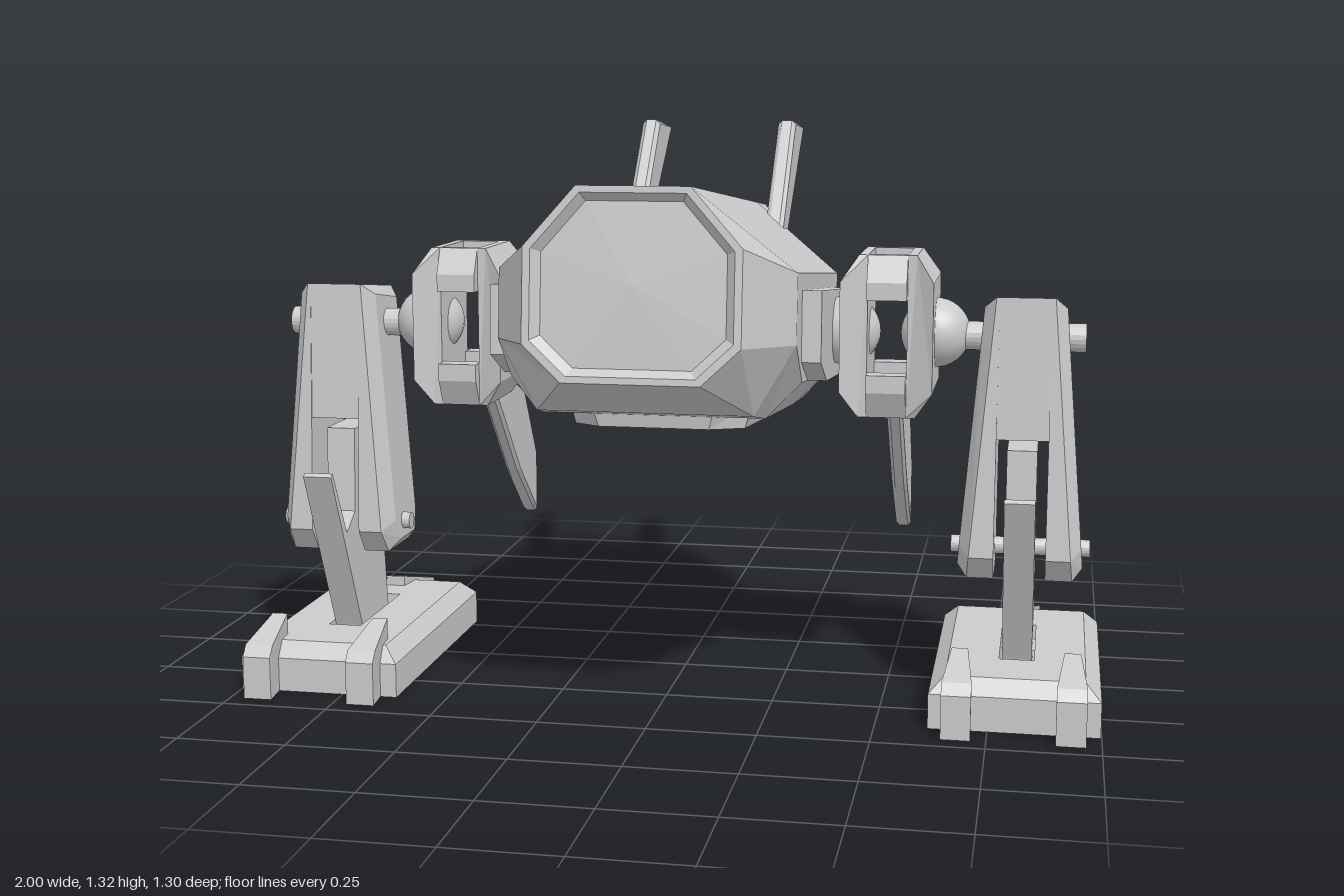
import * as THREE from 'three';

const flat = new THREE.MeshStandardMaterial({ color: 0xcccccc, flatShading: true });
const smooth = new THREE.MeshStandardMaterial({ color: 0xcccccc });

function add(parent, name, geometry, material = flat) {
  const mesh = new THREE.Mesh(geometry, material);
  mesh.name = name;
  parent.add(mesh);
  return mesh;
}

function group(parent, name, x = 0, y = 0, z = 0) {
  const g = new THREE.Group();
  g.name = name;
  g.position.set(x, y, z);
  parent.add(g);
  return g;
}

// Skin over rings of [x, y, z] points, counter-clockwise about the loft direction
function loft(rings, startTip, endTip) {
  const out = [];
  const tri = (...pts) => pts.forEach((p) => out.push(...p));
  const middle = (r) => [0, 1, 2].map((k) => r.reduce((sum, p) => sum + p[k], 0) / r.length);
  const first = rings[0], last = rings[rings.length - 1], n = first.length;
  const c0 = startTip || middle(first), c1 = endTip || middle(last);
  for (let j = 0; j < n; j++) {
    const k = (j + 1) % n;
    for (let i = 0; i + 1 < rings.length; i++) {
      const a = rings[i], b = rings[i + 1];
      tri(a[j], a[k], b[k]);
      tri(a[j], b[k], b[j]);
    }
    tri(c0, first[k], first[j]);
    tri(c1, last[j], last[k]);
  }
  const g = new THREE.BufferGeometry();
  g.setAttribute('position', new THREE.Float32BufferAttribute(out, 3));
  g.computeVertexNormals();
  return g;
}

// Side profile of [z, y] points, extruded across x and centred on x = 0
function plate(points, width, bevel = 0) {
  const shape = new THREE.Shape(points.map((p) => new THREE.Vector2(...p)));
  const g = new THREE.ExtrudeGeometry(shape, {
    depth: width - 2 * bevel, bevelEnabled: bevel > 0, bevelSize: bevel,
    bevelOffset: -bevel, bevelThickness: bevel, bevelSegments: 1,
  });
  return g.translate(0, 0, bevel - width / 2).rotateY(-Math.PI / 2);
}

// Move every vertex by a rule
function reshape(g, rule) {
  const p = g.attributes.position, v = new THREE.Vector3();
  for (let i = 0; i < p.count; i++) {
    rule(v.fromBufferAttribute(p, i));
    p.setXYZ(i, v.x, v.y, v.z);
  }
  g.computeVertexNormals();
  return g;
}

const pin = (radius, length) => new THREE.CylinderGeometry(radius, radius, length, 20).rotateZ(Math.PI / 2);

// Octagonal hull section: right half from bottom to top, then mirrored
function section(z, bottom, low, high, top = [0.123, 0.25]) {
  const half = [bottom, low, high, top];
  const left = half.slice().reverse().map(([x, y]) => [-x, y]);
  return [...half, ...left].map(([x, y]) => [x, y, z]);
}
const endRing = (z) => section(z, [0.15, -0.165], [0.235, -0.085], [0.235, 0.122]);
const shrink = (ring, s, z) => ring.map(([x, y]) => [x * s, 0.043 + (y - 0.043) * s, z]);

function buildBody(parent) {
  const body = group(parent, 'body', 0, 0.9, 0);
  body.rotation.x = -0.1;
  const rear = endRing(-0.45), front = endRing(0.64);
  // Hull with a recessed window frame in its nose
  add(body, 'hull', loft([
    rear,
    section(-0.305, [0.25, -0.24], [0.33, -0.08], [0.33, 0.075]),
    section(-0.13, [0.25, -0.245], [0.33, -0.165], [0.33, 0.075]),
    section(0.37, [0.25, -0.247], [0.33, -0.165], [0.33, 0.075]),
    section(0.48, [0.24, -0.235], [0.33, -0.08], [0.33, 0.075]),
    front,
    shrink(front, 0.93, 0.64),
    shrink(front, 0.85, 0.62),
  ], null, [0, 0.043, 0.628]));

  // Stepped tail whose outer sides stand proud of its middle
  const tail = shrink(rear, 0.78, -0.44);
  const rim = tail.map(([x, y]) => [x, y, y > -0.1 && y < 0.15 ? -0.522 : -0.488]);
  add(body, 'tailPlate', loft([rim, tail], [0, 0.043, -0.48]));

  // Side panels and belly panel
  const panel = [[0.4, 0.038], [-0.2, 0.04], [-0.215, -0.08], [-0.137, -0.16], [0.27, -0.165], [0.39, -0.12]];
  for (const s of [-1, 1]) {
    add(body, 'sidePanel', plate(panel, 0.06)).position.x = s * 0.343;
  }
  const belly = (y, i) => [[-0.21 + i, 0.3], [-0.14 + i, 0.39 - i], [0.14 - i, 0.39 - i], [0.21 - i, 0.3],
    [0.21 - i, -0.03], [0.14 - i, -0.11 + i], [-0.14 + i, -0.11 + i], [-0.21 + i, -0.03]].map(([x, z]) => [x, y, z]);
  add(body, 'bellyPanel', loft([belly(-0.275, 0.015), belly(-0.22, 0)]));
}

// Open shoulder housing: two cheeks joined by four corner bars
function buildShoulder(parent) {
  const shoulder = group(parent, 'shoulder', 0, 0.855, 0.105);
  for (const s of [-1, 1]) {
    const profile = [[0.045, -0.185], [0.065, -0.185], [0.105, -0.125], [0.105, 0.125], [0.065, 0.185], [0.045, 0.185]];
    const shape = new THREE.Shape(profile.map(([x, y]) => new THREE.Vector2(s * x, y)));
    const cheek = new THREE.ExtrudeGeometry(shape, { depth: 0.27, bevelEnabled: false }).translate(0, 0, -0.135);
    add(shoulder, 'housingCheek', reshape(cheek, (v) => { if (Math.abs(v.y) > 0.15) v.z *= 0.78; }));
    for (const t of [-1, 1]) {
      const bar = [[0.135, 0.085], [0.135, 0.125], [0.105, 0.185], [0.085, 0.185], [0.085, 0.085]];
      add(shoulder, 'housingBar', plate(bar.map(([z, y]) => [z * s, y * t]), 0.09));
    }
    add(shoulder, 'ballJoint', new THREE.SphereGeometry(0.08, 28, 18), smooth).position.x = s * 0.103;
  }
  // Swept blade hanging behind the housing
  add(parent, 'blade', plate([[0.02, 0.745], [-0.03, 0.745], [-0.3, 0.625], [-0.415, 0.44],
    [-0.41, 0.28], [-0.235, 0.425], [0, 0.68]], 0.038, 0.008));
}

function buildLeg(parent) {
  // Forked upper leg: flared, chamfered side plates under a solid crown
  const outline = [[-0.01, 0.925], [0.21, 0.95], [0.245, 0.36], [0.205, 0.305], [0.055, 0.305], [0.02, 0.36]];
  const inset = outline.map(([z, y]) => [0.117 + (z - 0.117) * 0.68, 0.63 + (y - 0.63) * 0.92]);
  const flare = (y) => 0.065 + 0.083 * (0.95 - y);
  for (const s of [-1, 1]) {
    const rings = [
      outline.map(([z, y]) => [s * 0.058, y, z]),
      outline.map(([z, y]) => [s * flare(y), y, z]),
      inset.map(([z, y]) => [s * (flare(y) + 0.025), y, z]),
    ];
    add(parent, 'upperLegPlate', loft(s > 0 ? rings : rings.reverse()));
  }
  add(parent, 'upperLegCrown', plate([[-0.01, 0.925], [0.21, 0.95], [0.225, 0.63], [0.005, 0.63]], 0.118));
  add(parent, 'shoulderPin', pin(0.033, 0.27)).position.set(0, 0.85, 0.11);
  add(parent, 'kneePin', pin(0.02, 0.315)).position.set(0, 0.37, 0.145);

  // Lower leg with a forward prong
  add(parent, 'lowerLeg', plate([[0.345, 0.52], [0.26, 0.36], [0.2, 0.4], [0.19, 0.6], [0.06, 0.6],
    [0.02, 0.5], [-0.025, 0.11], [-0.02, 0.05], [0.145, 0.05], [0.17, 0.11], [0.357, 0.513]], 0.068));

  // Slotted foot with a chamfered upper layer
  const foot = group(parent, 'foot', 0, 0, 0.05);
  const rect = (Type, x, y) => new Type([[-x, -y], [x, -y], [x, y], [-x, y]].map((p) => new THREE.Vector2(...p)));
  const slab = (height, slotLength) => {
    const shape = rect(THREE.Shape, 0.19, 0.335);
    shape.holes.push(rect(THREE.Path, 0.04, slotLength / 2));
    return new THREE.ExtrudeGeometry(shape, { depth: height, bevelEnabled: false }).rotateX(-Math.PI / 2);
  };
  add(foot, 'sole', slab(0.08, 0.1));
  const upper = reshape(slab(0.035, 0.3), (v) => {
    if (v.y > 0.01 && Math.abs(v.x) > 0.1) {
      v.x -= Math.sign(v.x) * 0.035;
      v.z -= Math.sign(v.z) * 0.035;
    }
  });
  add(foot, 'footTop', upper).position.y = 0.08;

  // Toes and heel spur, wider at their tips
  for (const s of [-1, 1]) {
    const toe = plate([[0.455, 0], [0.455, 0.1], [0.435, 0.125], [0.3, 0.165], [0.3, 0]], 0.066);
    reshape(toe, (v) => { if (v.z < 0.4) v.x *= 0.55; });
    add(parent, 'toe', toe).position.x = s * 0.125;
  }
  const heel = plate([[-0.39, 0], [-0.39, 0.06], [-0.36, 0.095], [-0.185, 0.14], [-0.185, 0]], 0.096);
  add(parent, 'heelSpur', reshape(heel, (v) => { if (v.z > -0.3) v.x *= 0.5; }));
}

export function createModel() {
  const model = new THREE.Group();
  model.name = 'walker';
  buildBody(model);
  for (const s of [-1, 1]) {
    const side = s > 0 ? 'left' : 'right';
    // Raked fin on the back of the hull
    const fin = plate([[-0.235, 1.055], [-0.47, 1.32], [-0.645, 1.3], [-0.34, 1.04]], 0.045, 0.01);
    add(model, side + 'Fin', fin).position.x = s * 0.178;
    buildShoulder(group(model, side + 'Arm', s * 0.5));
    buildLeg(group(model, side + 'Leg', s * 0.808));
  }
  return model;
}
